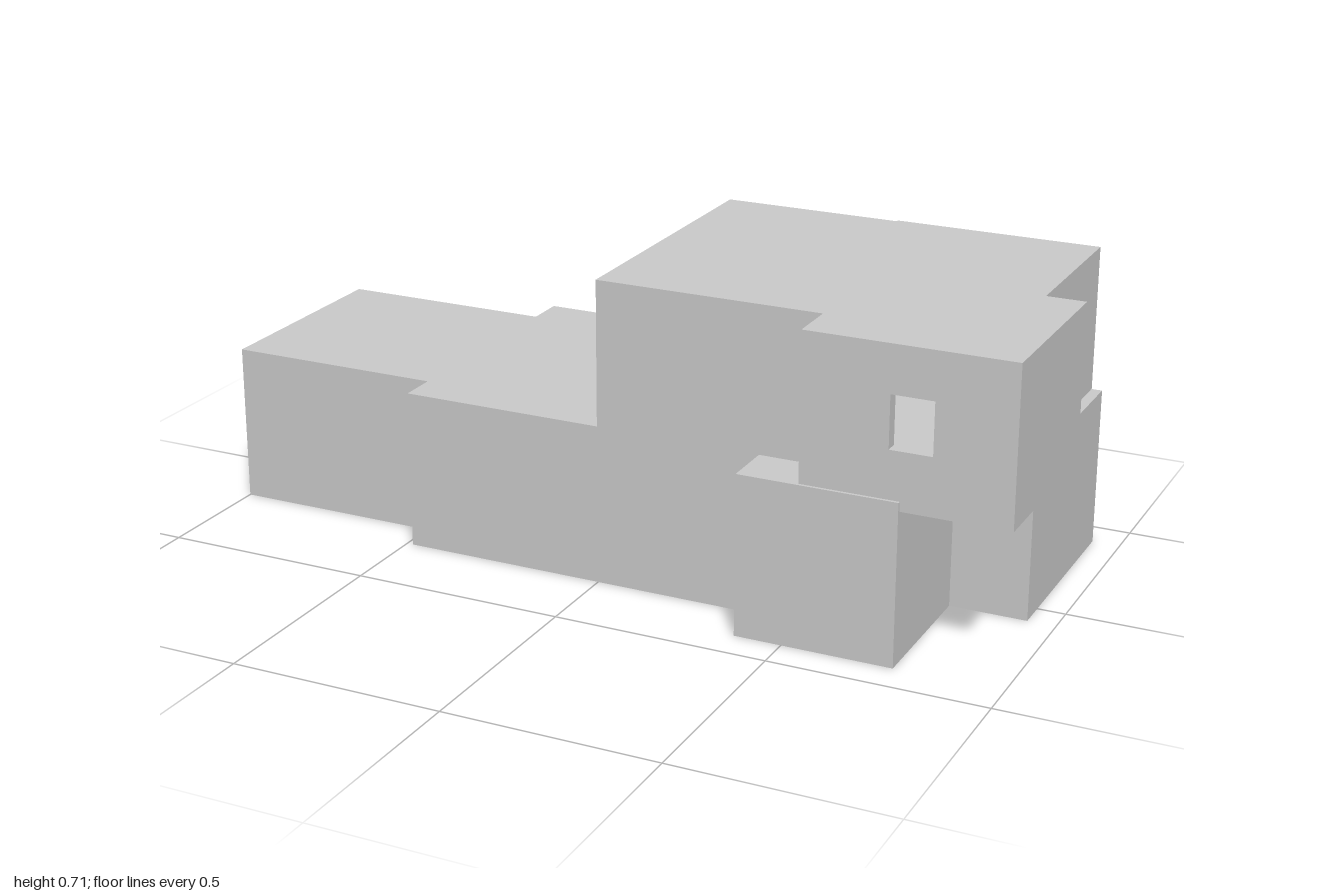
import * as THREE from 'three';

const WALL = 0.03;   // wall thickness
const SLAB = 0.022;  // floor and roof thickness
const material = new THREE.MeshStandardMaterial({ color: 0xcccccc, flatShading: true });

// Footprints as [x, z]: along the back towards +x, then round the side to the front.
const groundPlan = [
  [-1, -0.32], [-0.485, -0.32], [-0.485, -0.415], [0.935, -0.415], [0.935, 0.07], [0.755, 0.07],
  [0.755, 0.417], [0.39, 0.417], [0.39, 0.295], [-0.485, 0.295], [-0.485, 0.205], [-1, 0.205],
];
const upperPlan = [
  [0, -0.41], [0.425, -0.41], [0.425, -0.417], [0.91, -0.417], [0.91, -0.02], [1, -0.02],
  [1, 0.41], [0.53, 0.41], [0.53, 0.295], [0, 0.295],
];

function add(group, geometry, name) {
  const mesh = new THREE.Mesh(geometry, material);
  mesh.name = name;
  group.add(mesh);
  return mesh;
}

// Flat plate covering a footprint, from y up to y + SLAB
function slab(group, plan, y, name) {
  const shape = new THREE.Shape(plan.map(([x, z]) => new THREE.Vector2(x, z)));
  const geometry = new THREE.ExtrudeGeometry(shape, { depth: SLAB, bevelEnabled: false });
  geometry.rotateX(Math.PI / 2).translate(0, y + SLAB, 0);
  add(group, geometry, name);
}

function rectangle(path, u0, u1, y0, y1) {
  path.moveTo(u0, y0).lineTo(u1, y0).lineTo(u1, y1).lineTo(u0, y1).closePath();
  return path;
}

// One wall per footprint edge, thickened inwards; openings are { edge, x: [a, b], y: [a, b] }
function walls(group, plan, y0, y1, openings, name) {
  const n = plan.length;
  const point = (i) => new THREE.Vector2(...plan[(i + n) % n]);
  const direction = (i) => point(i + 1).sub(point(i)).normalize();
  const isInnerCorner = (i) => direction(i - 1).cross(direction(i)) < 0;

  for (let i = 0; i < n; i++) {
    const start = point(i), d = direction(i);
    const length = start.distanceTo(point(i + 1));
    // Run on past inner corners so neighbouring walls join
    const u0 = isInnerCorner(i) ? -WALL : 0;
    const u1 = length + (isInnerCorner(i + 1) ? WALL : 0);
    const shape = rectangle(new THREE.Shape(), u0, u1, y0, y1);
    for (const o of openings.filter((o) => o.edge === i)) {
      const [a, b] = o.x.map((x) => Math.abs(x - start.x)).sort((p, q) => p - q);
      shape.holes.push(rectangle(new THREE.Path(), a, b, o.y[0], o.y[1]));
    }
    const geometry = new THREE.ExtrudeGeometry(shape, { depth: WALL, bevelEnabled: false });
    const mesh = add(group, geometry, name);
    mesh.position.set(start.x, 0, start.y);
    mesh.rotation.y = Math.atan2(-d.y, d.x);
  }
}

function storey(name, plan, bottom, top, openings) {
  const group = new THREE.Group();
  group.name = name;
  slab(group, plan, bottom, name + 'Floor');
  walls(group, plan, bottom + SLAB, top - SLAB, openings, name + 'Wall');
  slab(group, plan, top - SLAB, name + 'Roof');
  return group;
}

export function createModel() {
  const house = new THREE.Group();
  house.name = 'house';
  house.add(
    // Back door and the small window beside it
    storey('groundStorey', groundPlan, 0, 0.375, [
      { edge: 2, x: [0.055, 0.165], y: [0.03, 0.268] },
      { edge: 2, x: [-0.095, 0.007], y: [0.14, 0.265] },
    ]),
    // One window at the back and one at the front
    storey('upperStorey', upperPlan, 0.353, 0.714, [
      { edge: 2, x: [0.62, 0.72], y: [0.485, 0.605] },
      { edge: 6, x: [0.727, 0.823], y: [0.485, 0.605] },
    ]),
  );
  return house;
}
